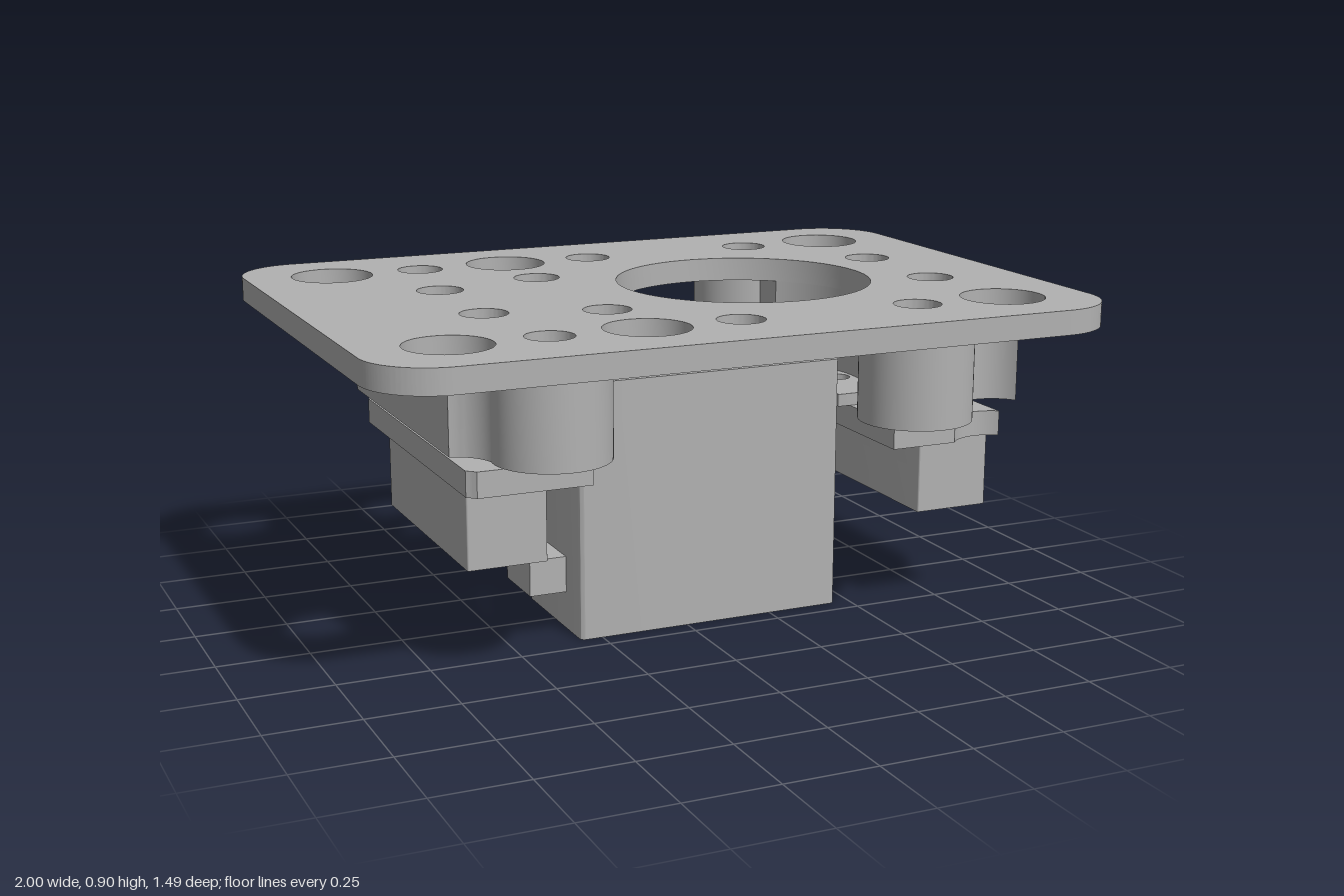
import * as THREE from 'three';
import { toCreasedNormals } from 'three/addons/utils/BufferGeometryUtils.js';

const grey = new THREE.MeshStandardMaterial({ color: 0xb2b2b2 });
grey.name = 'grey';

const BIG = 0.112, SMALL = 0.063, ROW = 0.51;

// Upright prism between heights y0 and y1 from a plan shape (symmetric in z)
function prism(name, shape, y0, y1) {
  const geo = new THREE.ExtrudeGeometry(shape, { depth: y1 - y0, bevelEnabled: false, curveSegments: 32 });
  geo.rotateX(-Math.PI / 2);
  geo.translate(0, y0, 0);
  const mesh = new THREE.Mesh(toCreasedNormals(geo, 0.5), grey);
  mesh.name = name;
  return mesh;
}

function addHole(shape, x, z, r) {
  const hole = new THREE.Path();
  hole.absarc(x, z, r, 0, Math.PI * 2, true);
  shape.holes.push(hole);
}

function roundedRect(x0, x1, halfZ, r) {
  const s = new THREE.Shape();
  s.absarc(x1 - r, halfZ - r, r, 0, Math.PI / 2);
  s.absarc(x0 + r, halfZ - r, r, Math.PI / 2, Math.PI);
  s.absarc(x0 + r, -halfZ + r, r, Math.PI, Math.PI * 1.5);
  s.absarc(x1 - r, -halfZ + r, r, Math.PI * 1.5, Math.PI * 2);
  s.closePath();
  return s;
}

function disc(x, z, r) {
  const s = new THREE.Shape();
  s.absarc(x, z, r, 0, Math.PI * 2);
  return s;
}

function arc(cx, cz, r, a0, a1, n) {
  return Array.from({ length: n + 1 }, (_, i) => {
    const a = a0 + (a1 - a0) * i / n;
    return new THREE.Vector2(cx + r * Math.cos(a), cz + r * Math.sin(a));
  });
}

// Bar with corners scooped out around the big holes; side mirrors it in x
function scoopedBar(side, inner, outer, end, boltX, bossRelief, centreCut) {
  const c = 0.765;
  const a0 = -Math.PI + Math.asin((ROW - end) / BIG);
  const a1 = -Math.acos((outer - c) / BIG);
  const half = [new THREE.Vector2(inner, bossRelief ? 0.43 : end)];
  if (bossRelief) half.push(new THREE.Vector2(0.59, 0.43), new THREE.Vector2(0.59, end));
  half.push(...arc(c, ROW, BIG, a0, a1, 14));
  const mirrored = half.map(p => new THREE.Vector2(p.x, -p.y)).reverse();
  const pts = [...half, ...mirrored];
  if (centreCut) {
    const a = Math.acos((inner - 0.255) / 0.35);
    pts.push(...arc(0.255, 0, 0.35, -a, a, 24));
  }
  const shape = new THREE.Shape(pts.map(p => new THREE.Vector2(p.x * side, p.y)));
  for (const z of [-0.177, 0.177]) addHole(shape, boltX, z, SMALL);
  return shape;
}

// Rectangular nut housing, with round or hexagonal openings
function housing(x0, x1, boltX, hex) {
  const s = roundedRect(x0, x1, 0.33, 0.004);
  for (const z of [-0.177, 0.177]) {
    if (hex) s.holes.push(new THREE.Path(arc(boltX, z, 0.11, Math.PI / 6, Math.PI * 13 / 6, 6).slice(0, 6)));
    else addHole(s, boltX, z, SMALL);
  }
  return s;
}

export function createModel() {
  const model = new THREE.Group();
  model.name = 'servoMountPlate';

  // Top plate with its hole pattern
  const plate = roundedRect(-1, 1, 0.745, 0.18);
  addHole(plate, 0.255, 0, 0.35);
  for (const m of [-1, 1]) {
    for (const x of [-0.765, -0.255, 0.765]) addHole(plate, x, m * ROW, BIG);
    for (const x of [-0.51, 0, 0.507]) addHole(plate, x, m * ROW, SMALL);
    for (const x of [-0.56, 0.745]) addHole(plate, x, m * 0.177, SMALL);
    addHole(plate, -0.255, m * 0.255, SMALL);
  }
  model.add(prism('topPlate', plate, 0.84, 0.905));

  // Servo body, flanges, output shaft and cable exit
  const servo = new THREE.Group();
  servo.name = 'servo';
  servo.add(prism('servoBody', roundedRect(-0.312, 0.455, 0.197, 0.015), 0, 0.702));
  for (const [name, x0, x1, hx] of [['rightFlange', -0.482, -0.312, -0.413], ['leftFlange', 0.455, 0.627, 0.558]]) {
    const flange = roundedRect(x0, x1, 0.197, 0.003);
    addHole(flange, hx, 0, 0.035);
    servo.add(prism(name, flange, 0.568, 0.602));
  }
  servo.add(prism('outputShaft', disc(0.255, 0, 0.1), 0.702, 0.818));
  const cable = new THREE.Mesh(new THREE.BoxGeometry(0.104, 0.1, 0.18), grey);
  cable.name = 'cableExit';
  cable.position.set(-0.364, 0.154, 0);
  servo.add(cable);
  model.add(servo);

  // Clamp assembly on each side of the servo
  const sides = [
    { name: 'right', s: -1, bolt: -0.56, upper: [0.37, 0.735], lower: [0.37, 0.7], box: [-0.67, -0.455] },
    { name: 'left', s: 1, bolt: 0.745, upper: [0.49, 0.86], lower: [0.49, 0.83], box: [0.637, 0.851] },
  ];
  for (const { name, s, bolt, upper, lower, box } of sides) {
    const clamp = new THREE.Group();
    clamp.name = name + 'Clamp';
    clamp.add(prism('spacerBlock', scoopedBar(s, ...upper, 0.5, bolt, true, s > 0), 0.602, 0.84));
    for (const z of [-ROW, ROW]) {
      const boss = disc(s * 0.508, z, 0.15);
      addHole(boss, s * 0.508, z, SMALL);
      clamp.add(prism('boss', boss, 0.602, 0.84));
    }
    clamp.add(prism('clampBar', scoopedBar(s, ...lower, 0.44, bolt, false, false), 0.5, 0.568));
    clamp.add(prism('nutHousing', housing(...box, bolt, false), 0.4, 0.5));
    clamp.add(prism('nutPocket', housing(...box, bolt, true), 0.28, 0.4));
    model.add(clamp);
  }
  return model;
}
